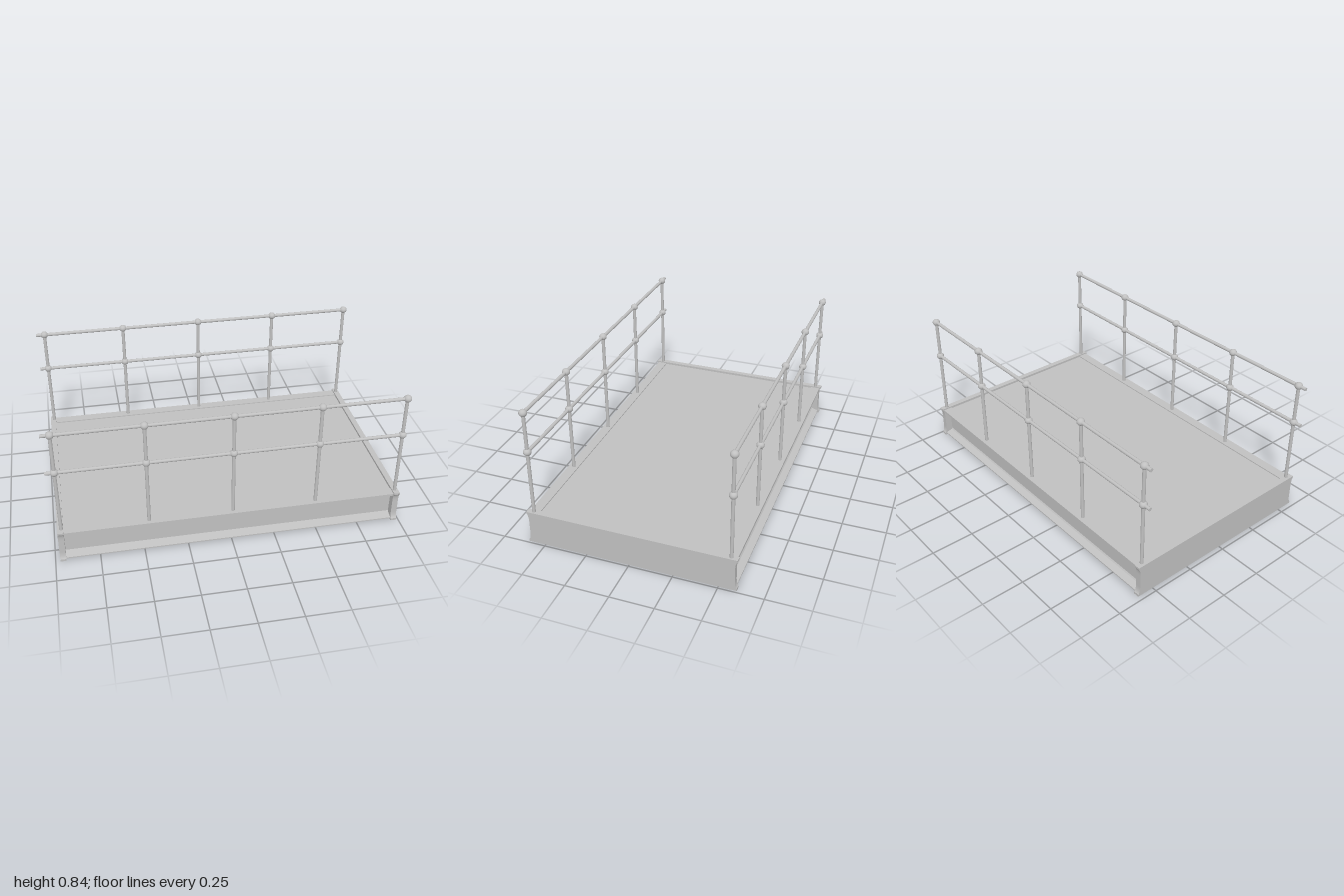
import * as THREE from 'three';

const steel = new THREE.MeshStandardMaterial({ color: 0xc0c0c0 });
steel.name = 'light grey steel';

function add(parent, geometry, name, x, y, z) {
  const mesh = new THREE.Mesh(geometry, steel);
  mesh.name = name;
  mesh.position.set(x, y, z);
  parent.add(mesh);
  return mesh;
}

// Extrudes a (z, y) profile along x, from x0 to x1
function extrudeAlongX(parent, shape, name, x0, x1) {
  const geometry = new THREE.ExtrudeGeometry(shape, { depth: x1 - x0, bevelEnabled: false, curveSegments: 8 });
  geometry.rotateY(-Math.PI / 2);
  return add(parent, geometry, name, x1, 0, 0);
}

// Channel section with tapered flanges, opening outward
function channelShape(side) {
  const points = [
    [0.535, 0.01], [0.592, 0.01], [0.592, 0.017], [0.553, 0.027], [0.547, 0.035],
    [0.547, 0.157], [0.553, 0.165], [0.592, 0.178], [0.592, 0.19], [0.535, 0.19],
  ];
  return new THREE.Shape(points.map(([z, y]) => new THREE.Vector2(z * side, y)));
}

// End plate outline with hollowed short ends
function endPlateShape() {
  const s = new THREE.Shape();
  s.moveTo(-0.6, 0);
  s.lineTo(0.6, 0);
  s.lineTo(0.6, 0.013);
  s.quadraticCurveTo(0.588, 0.025, 0.588, 0.06);
  s.lineTo(0.588, 0.14);
  s.quadraticCurveTo(0.588, 0.175, 0.6, 0.187);
  s.lineTo(0.6, 0.198);
  s.lineTo(-0.6, 0.198);
  s.lineTo(-0.6, 0.187);
  s.quadraticCurveTo(-0.588, 0.175, -0.588, 0.14);
  s.lineTo(-0.588, 0.06);
  s.quadraticCurveTo(-0.588, 0.025, -0.6, 0.013);
  s.closePath();
  return s;
}

export function createModel() {
  const model = new THREE.Group();
  model.name = 'platform';

  // Base frame and deck
  const frame = new THREE.Group();
  frame.name = 'frame';
  model.add(frame);
  extrudeAlongX(frame, endPlateShape(), 'rightEndPlate', -0.973, -0.94);
  extrudeAlongX(frame, endPlateShape(), 'leftEndPlate', 0.954, 0.988);
  add(frame, new THREE.BoxGeometry(1.894, 0.01, 1.07), 'deck', 0.007, 0.179, 0);

  // Post, rail and joint shapes shared by both railings
  const postXs = [-0.95, -0.466, 0.01, 0.491, 0.969];
  const railYs = [0.582, 0.818];
  const post = new THREE.CylinderGeometry(0.01, 0.01, 0.633, 20);
  const rail = new THREE.CylinderGeometry(0.01, 0.01, 1.97, 20).rotateZ(Math.PI / 2);
  const joint = new THREE.SphereGeometry(0.0225, 24, 16).scale(1, 0.92, 1);

  for (const side of [1, -1]) {
    const label = side > 0 ? 'front' : 'back';
    extrudeAlongX(frame, channelShape(side), label + 'Channel', -0.94, 0.954);

    const railing = new THREE.Group();
    railing.name = label + 'Railing';
    railing.position.z = 0.562 * side;
    model.add(railing);
    for (const y of railYs) add(railing, rail, 'rail', -0.015, y, 0);
    for (const x of postXs) {
      add(railing, post, 'post', x, 0.5015, 0);
      for (const y of railYs) add(railing, joint, 'ballJoint', x, y, 0);
    }
  }
  return model;
}
